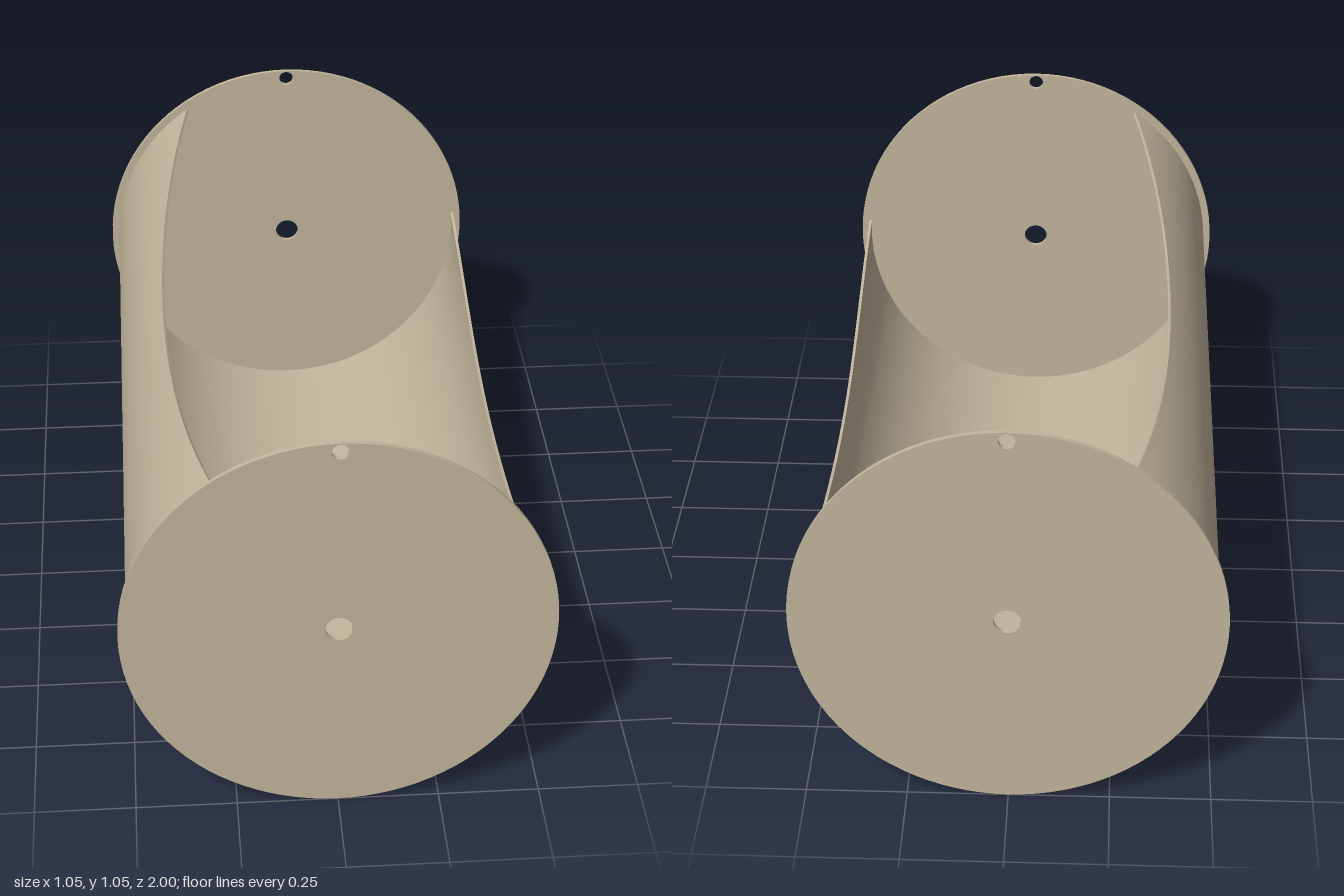
import * as THREE from 'three';
import { toCreasedNormals } from 'three/addons/utils/BufferGeometryUtils.js';

const CENTER_Y = 0.525, DISC_R = 0.525, DISC_T = 0.012;
const OUTER_R = 0.505, INNER_R = 0.497, HALF_LENGTH = 0.995;

// End disc with a centre hole and a small hole near the top rim
function discGeometry() {
  const circle = (Type, y, r) => new Type().absarc(0, y, r, 0, Math.PI * 2, false);
  const shape = circle(THREE.Shape, 0, DISC_R);
  shape.holes.push(circle(THREE.Path, 0, 0.033), circle(THREE.Path, 0.502, 0.02));
  const g = new THREE.ExtrudeGeometry(shape, { depth: DISC_T, bevelEnabled: false, curveSegments: 48 });
  return toCreasedNormals(g, 0.6);
}

// Thin cylindrical shell whose tilted opening widens towards the middle
function troughGeometry() {
  const arcSteps = 72, rows = 32, ring = 2 * (arcSteps + 1);
  const middle = THREE.MathUtils.degToRad(65);
  const pos = [], index = [];
  for (let j = 0; j <= rows; j++) {
    const t = (j / rows) * 2 - 1;
    const opening = THREE.MathUtils.degToRad(75 - 15 * t * t);
    const start = middle + opening, sweep = Math.PI * 2 - 2 * opening;
    for (let i = 0; i < ring; i++) {
      const outer = i <= arcSteps;
      const a = start + sweep * (outer ? i : ring - 1 - i) / arcSteps;
      const r = outer ? OUTER_R : INNER_R;
      pos.push(r * Math.cos(a), r * Math.sin(a), t * HALF_LENGTH);
    }
  }
  for (let j = 0; j < rows; j++) {
    for (let i = 0; i < ring; i++) {
      const k = (i + 1) % ring;
      const a = j * ring + i, b = j * ring + k;
      index.push(a, b, b + ring, a, b + ring, a + ring);
    }
  }
  const g = new THREE.BufferGeometry();
  g.setAttribute('position', new THREE.Float32BufferAttribute(pos, 3));
  g.setIndex(index);
  return toCreasedNormals(g, 0.6);
}

export function createModel() {
  const group = new THREE.Group();
  group.name = 'openDrum';
  const tan = new THREE.MeshStandardMaterial({ color: 0xc2b59b });
  tan.name = 'tan';

  const add = (name, geometry, z) => {
    const mesh = new THREE.Mesh(geometry, tan);
    mesh.name = name;
    mesh.position.set(0, CENTER_Y, z);
    group.add(mesh);
  };

  add('trough', troughGeometry(), 0);
  const disc = discGeometry();
  add('frontDisc', disc, 1 - DISC_T);
  add('backDisc', disc, -1);
  return group;
}
